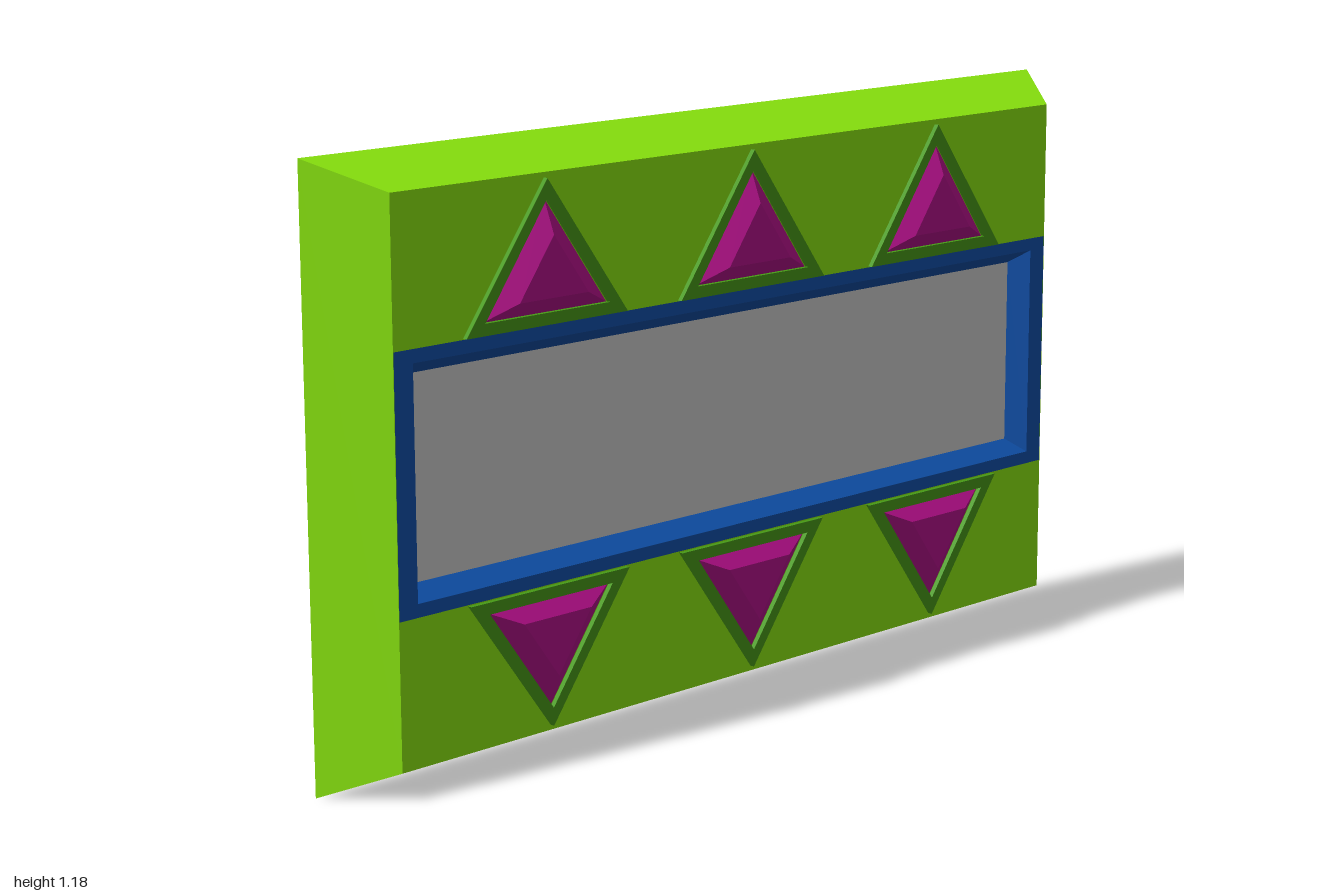
import * as THREE from 'three';

const MID = 0.59; // height of the horizontal symmetry line
const FACE = 0.055; // z of the plate's front face

// Rings run counter-clockwise as seen from the front
const rect = (w, h, z) => [[-w, -h, z], [w, -h, z], [w, h, z], [-w, h, z]];
const tri = (w, y0, y1, z) => [[-w, y0, z], [w, y0, z], [0, y1, z]];

// Joins consecutive rings with flat faces, optionally closing either end
function loft(name, color, rings, { capStart = false, capEnd = false } = {}) {
  const pos = [];
  const face = (a, b, c) => pos.push(...a, ...b, ...c);
  for (let r = 0; r < rings.length - 1; r++) {
    const a = rings[r], b = rings[r + 1], n = a.length;
    for (let i = 0; i < n; i++) {
      const j = (i + 1) % n;
      face(a[i], a[j], b[j]);
      face(a[i], b[j], b[i]);
    }
  }
  const first = rings[0], last = rings[rings.length - 1];
  for (let i = 1; i < first.length - 1; i++) {
    if (capStart) face(first[0], first[i + 1], first[i]);
    if (capEnd) face(last[0], last[i], last[i + 1]);
  }
  const geometry = new THREE.BufferGeometry();
  geometry.setAttribute('position', new THREE.Float32BufferAttribute(pos, 3));
  geometry.computeVertexNormals();
  const mesh = new THREE.Mesh(geometry, new THREE.MeshStandardMaterial({ color, flatShading: true }));
  mesh.name = name;
  return mesh;
}

// Triangular gem in a raised triangular setting, base edge at local y = 0.25
function createGem() {
  const gem = new THREE.Group();
  gem.add(loft('gemSetting', 0x479a16, [
    tri(0.2, 0.25, 0.523, FACE), tri(0.2, 0.25, 0.523, 0.065),
    tri(0.155, 0.273, 0.487, 0.065), tri(0.155, 0.273, 0.487, FACE),
  ]));
  gem.add(loft('gemStone', 0xb40f8a, [
    tri(0.153, 0.273, 0.485, FACE), tri(0.085, 0.303, 0.42, 0.081),
  ], { capEnd: true }));
  return gem;
}

export function createModel() {
  const model = new THREE.Group();
  model.name = 'jewelledPanel';

  // Bevelled plate, open where the window frame sits
  const plate = loft('backPlate', 0x8ae60e, [
    rect(1, MID, -0.08), rect(0.905, 0.533, FACE), rect(0.904, 0.248, FACE),
  ], { capStart: true });

  // Flush frame with walls sloping down to the sunken panel
  const frame = loft('windowFrame', 0x0f50aa, [
    rect(0.904, 0.248, FACE), rect(0.86, 0.222, FACE), rect(0.832, 0.195, 0.015),
  ]);
  const panel = loft('windowPanel', 0xcccccc, [rect(0.832, 0.195, 0.015)], { capEnd: true });
  for (const part of [plate, frame, panel]) {
    part.position.y = MID;
    model.add(part);
  }

  // Three gems above the window, three turned upside down below it
  for (const x of [-0.542, 0, 0.542]) {
    for (const row of ['upper', 'lower']) {
      const gem = createGem();
      gem.name = row + 'Gem';
      gem.position.set(x, MID, 0);
      if (row === 'lower') gem.rotation.z = Math.PI;
      model.add(gem);
    }
  }
  return model;
}
